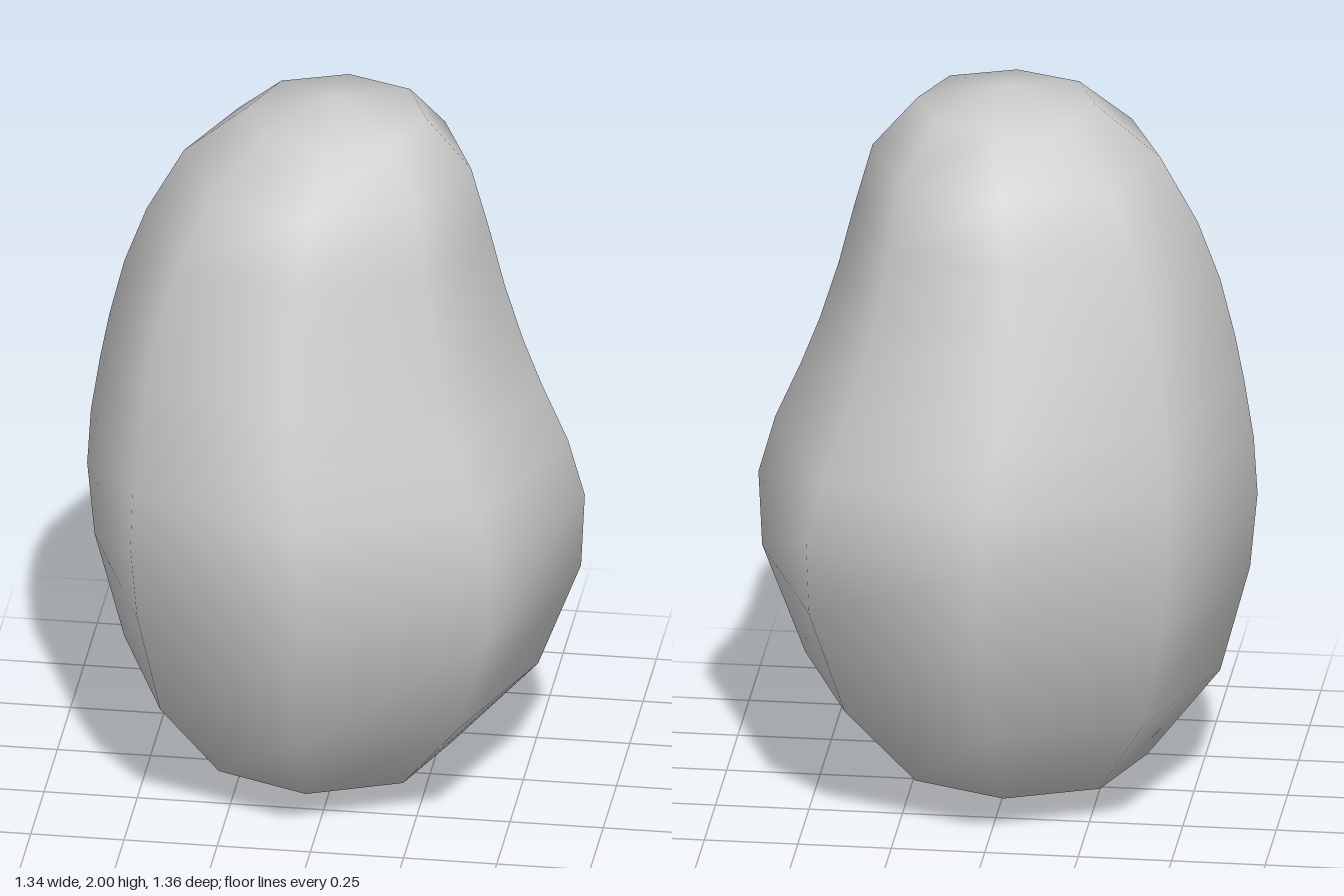
import * as THREE from 'three';

// Cross-sections from bottom to top: [y, -x edge, +x edge, half depth in z]
const rings = [
  [0.10, -0.375, 0.31, 0.36],
  [0.35, -0.57, 0.54, 0.57],
  [0.65, -0.65, 0.655, 0.66],
  [0.86, -0.67, 0.665, 0.68],
  [1.02, -0.66, 0.62, 0.655],
  [1.18, -0.635, 0.55, 0.60],
  [1.31, -0.61, 0.50, 0.555],
  [1.47, -0.57, 0.45, 0.495],
  [1.63, -0.51, 0.41, 0.435],
  [1.81, -0.41, 0.36, 0.365],
  [1.95, -0.24, 0.24, 0.23],
];
const SIDES = 8;

// Closed lopsided body: eight-sided rings capped by a point at each end
function bodyGeometry() {
  const positions = [];
  const index = [];
  for (const [y, x0, x1, depth] of rings) {
    for (let i = 0; i < SIDES; i++) {
      const a = (i / SIDES) * Math.PI * 2;
      const k = i % 2 ? 1.02 : 1;
      positions.push((x0 + x1) / 2 + Math.cos(a) * k * (x1 - x0) / 2, y, Math.sin(a) * k * depth);
    }
  }
  const bottom = rings.length * SIDES;
  const top = bottom + 1;
  positions.push(-0.04, 0, 0, 0, 2, 0);

  const last = (rings.length - 1) * SIDES;
  for (let i = 0; i < SIDES; i++) {
    const j = (i + 1) % SIDES;
    index.push(bottom, i, j, top, last + j, last + i);
    for (let r = 0; r < last; r += SIDES) {
      index.push(r + i, r + SIDES + i, r + j, r + j, r + SIDES + i, r + SIDES + j);
    }
  }
  const geometry = new THREE.BufferGeometry();
  geometry.setAttribute('position', new THREE.Float32BufferAttribute(positions, 3));
  geometry.setIndex(index);
  geometry.computeVertexNormals();
  return geometry;
}

export function createModel() {
  const group = new THREE.Group();
  const body = new THREE.Mesh(bodyGeometry(), new THREE.MeshStandardMaterial({ color: 0xcccccc }));
  body.name = 'body';
  group.add(body);
  return group;
}
